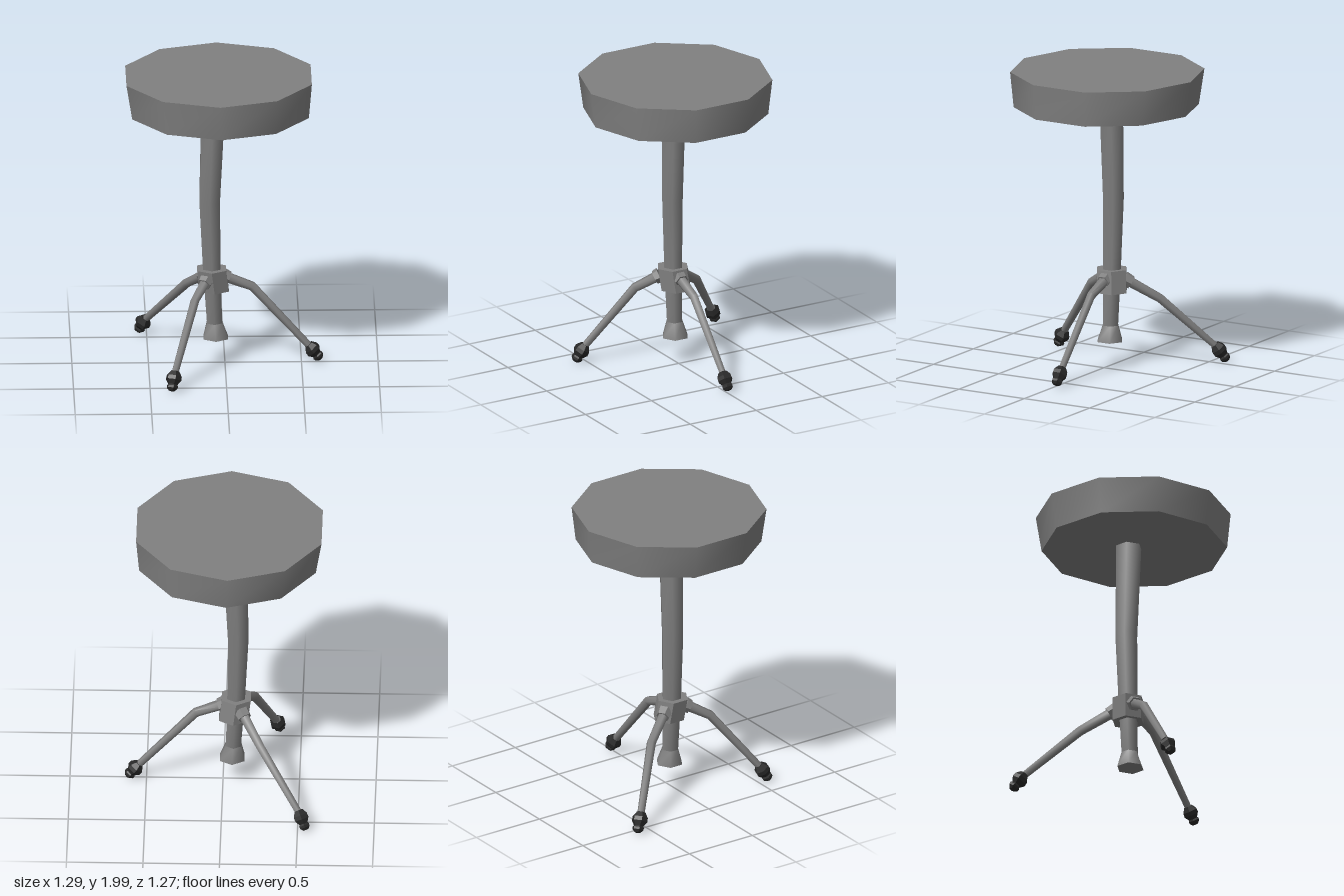
import * as THREE from 'three';
import { toCreasedNormals } from 'three/addons/utils/BufferGeometryUtils.js';

const UP = new THREE.Vector3(0, 1, 0);
const X = new THREE.Vector3(1, 0, 0);

// Closed skin through rings [x, y, z, radius]; level keeps every ring horizontal.
function loft(rings, sides, { level = false, crease = 1.1 } = {}) {
  const centres = rings.map(([x, y, z]) => new THREE.Vector3(x, y, z));
  const last = rings.length - 1;
  const loops = rings.map((ring, i) => {
    const before = centres[i].clone().sub(centres[Math.max(i - 1, 0)]).normalize();
    const after = centres[Math.min(i + 1, last)].clone().sub(centres[i]).normalize();
    const t = level ? UP.clone() : before.add(after).normalize();
    const u = t.clone().cross(level ? X : UP).normalize();
    const v = t.clone().cross(u);
    return Array.from({ length: sides }, (_, j) => {
      const a = (j / sides) * Math.PI * 2;
      return centres[i].clone()
        .addScaledVector(u, Math.cos(a) * ring[3])
        .addScaledVector(v, Math.sin(a) * ring[3]);
    });
  });
  const points = [];
  for (let j = 0; j < sides; j++) {
    const k = (j + 1) % sides;
    for (let i = 0; i < last; i++) {
      const [a, b, c, d] = [loops[i][j], loops[i][k], loops[i + 1][j], loops[i + 1][k]];
      points.push(a, b, d, a, d, c);
    }
    points.push(centres[0], loops[0][k], loops[0][j]);
    points.push(centres[last], loops[last][j], loops[last][k]);
  }
  const geometry = new THREE.BufferGeometry().setFromPoints(points);
  geometry.computeVertexNormals();
  return crease ? toCreasedNormals(geometry, crease) : geometry;
}

export function createModel() {
  const metal = new THREE.MeshStandardMaterial({ color: 0x808080 });
  metal.name = 'greyMetal';
  const rubber = new THREE.MeshStandardMaterial({ color: 0x282828 });
  rubber.name = 'blackRubber';

  const model = new THREE.Group();
  model.name = 'stool';
  const add = (parent, name, geometry, material) => {
    const mesh = new THREE.Mesh(geometry, material);
    mesh.name = name;
    parent.add(mesh);
  };

  // Ten-sided seat, slightly wider at the top
  add(model, 'seat', loft([
    [-0.033, 1.765, 0.003, 0.607],
    [-0.042, 2, 0.001, 0.637],
  ], 10, { level: true }), metal);

  // Slightly bent column and its flared lower end
  add(model, 'column', loft([
    [-0.068, 0.28, -0.008, 0.057],
    [-0.086, 0.66, -0.008, 0.067],
    [-0.1, 1.12, -0.011, 0.077],
    [-0.077, 1.775, -0.008, 0.088],
  ], 6, { level: true }), metal);
  add(model, 'columnFlare', loft([
    [-0.06, 0.18, -0.008, 0.092],
    [-0.068, 0.285, -0.008, 0.057],
  ], 6, { level: true }), metal);

  // Hexagonal hub that carries the legs
  add(model, 'hub', loft([
    [-0.069, 0.51, -0.02, 0.109],
    [-0.088, 0.66, -0.004, 0.109],
  ], 6, { level: true, crease: 0 }), metal);

  // Each leg: hub end, bend, ankle and foot tip
  const legs = [
    ['leftLeg', [-0.01, 0.605, -0.008], [0.178, 0.532, -0.01], [0.545, 0.125, -0.012], [0.625, 0.025, -0.012]],
    ['backLeg', [-0.12, 0.595, -0.08], [-0.245, 0.46, -0.28], [-0.505, 0.13, -0.54], [-0.555, 0.02, -0.605]],
    ['frontLeg', [-0.125, 0.6, 0.07], [-0.2, 0.515, 0.215], [-0.337, 0.13, 0.51], [-0.36, 0.018, 0.575]],
  ];
  // Foot profile: fraction along the foot, radius
  const footProfile = [[0, 0.03], [0.25, 0.052], [0.45, 0.053], [0.68, 0.032], [0.76, 0.039], [0.87, 0.037], [1, 0.02]];

  for (const [name, hip, bend, ankle, tip] of legs) {
    const leg = new THREE.Group();
    leg.name = name;
    const between = (a, b, f, r) => [...a.map((v, i) => v + (b[i] - v) * f), r];
    add(leg, 'legTube', loft([[...hip, 0.036], [...bend, 0.031], between(ankle, tip, 0.2, 0.024)], 6), metal);
    add(leg, 'legCollar', loft([between(hip, bend, 0, 0.052), between(hip, bend, 0.2, 0.046)], 6, { crease: 0 }), metal);
    add(leg, 'foot', loft(footProfile.map(([f, r]) => between(ankle, tip, f, r)), 6, { crease: 0 }), rubber);
    model.add(leg);
  }
  return model;
}
